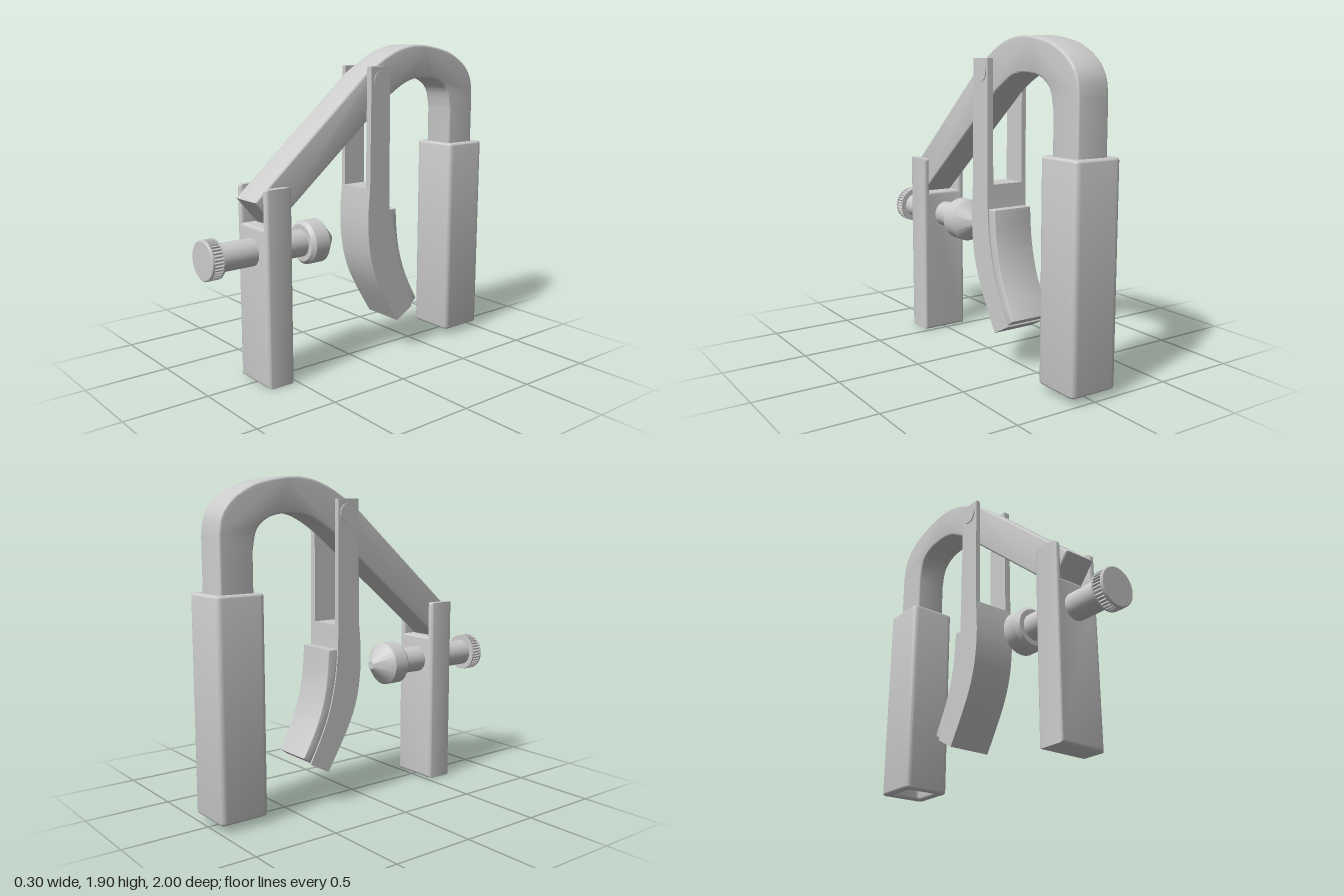
import * as THREE from 'three';
import { toCreasedNormals } from 'three/addons/utils/BufferGeometryUtils.js';

const V = (x, y) => new THREE.Vector2(x, y);
const material = new THREE.MeshStandardMaterial({ color: 0xcccccc });

// smooth run of points through a few side-profile stations
const smooth = (pts, n = 16) => new THREE.SplineCurve(pts.map(p => V(...p))).getPoints(n);

function mesh(name, geometry, crease = 0.6) {
  const m = new THREE.Mesh(toCreasedNormals(geometry, crease), material);
  m.name = name;
  return m;
}

// extrusion whose outer size stays exact when bevelled
function extrude(shape, depth, bevel = 0) {
  return new THREE.ExtrudeGeometry(shape, {
    depth: depth - 2 * bevel, curveSegments: 12,
    bevelEnabled: bevel > 0, bevelSize: bevel, bevelThickness: bevel,
    bevelOffset: -bevel, bevelSegments: 3,
  }).translate(0, 0, bevel);
}

// side profile drawn in (-z, y), spanning x0..x1
function sideExtrude(points, x0, x1, bevel = 0) {
  return extrude(new THREE.Shape(points), x1 - x0, bevel).rotateY(Math.PI / 2).translate(x0, 0, 0);
}

function roundedRect(Type, w, h, r) {
  const s = new Type(), x = w / 2, y = h / 2;
  s.moveTo(-x + r, -y).lineTo(x - r, -y).quadraticCurveTo(x, -y, x, -y + r);
  s.lineTo(x, y - r).quadraticCurveTo(x, y, x - r, y);
  s.lineTo(-x + r, y).quadraticCurveTo(-x, y, -x, y - r);
  s.lineTo(-x, -y + r).quadraticCurveTo(-x, -y, -x + r, -y);
  return s;
}

function createFrame() {
  const under = smooth([[0.2, 1.58], [0.3, 1.645], [0.4, 1.69], [0.5, 1.7], [0.62, 1.685],
    [0.71, 1.62], [0.74, 1.5]], 24);
  const over = smooth([[0.945, 1.58], [0.93, 1.68], [0.88, 1.76], [0.79, 1.825], [0.68, 1.87], [0.5, 1.9],
    [0.36, 1.89], [0.22, 1.84], [0.05, 1.74]], 28);
  return mesh('frameBar', sideExtrude(
    [V(-0.6, 0.92), ...under, V(0.74, 0.15), V(0.945, 0.15), ...over, V(-0.73, 1.07)], -0.1, 0.1, 0.012));
}

function createGrip() {
  const shape = roundedRect(THREE.Shape, 0.3, 0.295, 0.035);
  shape.holes.push(roundedRect(THREE.Path, 0.19, 0.19, 0.02));
  const grip = mesh('rearGrip', extrude(shape, 1.24, 0.015).rotateX(-Math.PI / 2));
  grip.position.set(0, 0.04, -0.8475);
  return grip;
}

function createFrontLeg() {
  // forked plate straddling the bar
  const shape = new THREE.Shape([V(-0.15, 0), V(0.15, 0), V(0.15, 1.14), V(0.107, 1.14),
    V(0.107, 0.92), V(-0.107, 0.92), V(-0.107, 1.14), V(-0.15, 1.14)]);
  const leg = mesh('frontLeg', extrude(shape, 0.17, 0.018));
  leg.position.z = 0.52;
  return leg;
}

function createScrew() {
  const g = new THREE.Group();
  g.name = 'adjustingScrew';
  const turned = (name, pts) => mesh(name,
    new THREE.LatheGeometry(pts.map(p => V(...p)), 40).rotateX(Math.PI / 2));
  g.add(turned('screwShaft', [[0, 0.3], [0.08, 0.3], [0.08, 0.95], [0, 0.95]]));
  g.add(turned('screwTip', [[0, 0.14], [0.025, 0.14], [0.13, 0.235], [0.13, 0.33],
    [0.11, 0.352], [0, 0.352]]));

  // knurled knob
  const rim = [], teeth = 36;
  for (let i = 0; i < teeth * 4; i++) {
    const a = i / (teeth * 4) * Math.PI * 2, r = i % 4 < 2 ? 0.114 : 0.106;
    rim.push(V(Math.cos(a) * r, Math.sin(a) * r));
  }
  const knob = mesh('screwKnob', extrude(new THREE.Shape(rim), 0.07), 0.3);
  knob.position.z = 0.925;
  g.add(knob, turned('knobFace', [[0, 0.92], [0.113, 0.92], [0.113, 0.93], [0, 0.93]]),
    turned('knobCap', [[0, 0.985], [0.114, 0.985], [0.114, 0.995], [0.108, 1], [0, 1]]));
  g.position.set(-0.012, 0.77, 0);
  return g;
}

function createLever() {
  const g = new THREE.Group();
  g.name = 'hangingLever';
  const front = smooth([[0.048, 1.06], [0.037, 0.93], [0.038, 0.78], [0.065, 0.61], [0.13, 0.445], [0.275, 0.2]], 20);
  const back = smooth([[0.4, 0.268], [0.285, 0.5], [0.228, 0.7], [0.205, 0.88], [0.2, 1.06]], 20);
  g.add(mesh('leverBody', sideExtrude([...front, ...back], -0.13, 0.14)));

  // paired arms either side of the bar
  for (const [name, x0, x1] of [['rightArm', -0.13, -0.1], ['leftArm', 0.1, 0.14]])
    g.add(mesh(name, sideExtrude([V(0.048, 1.06), V(0.2, 1.06), V(0.198, 1.78), V(0.055, 1.78)], x0, x1)));

  // curved pad on the rear of the lever
  const padFront = smooth([[0.195, 0.92], [0.218, 0.7], [0.275, 0.5], [0.395, 0.275]], 20);
  const padBack = smooth([[0.443, 0.31], [0.34, 0.51], [0.282, 0.71], [0.262, 0.92]], 20);
  g.add(mesh('leverPad', sideExtrude([...padFront, ...padBack], -0.122, 0.132, 0.006)));

  const pin = mesh('pivotPin', new THREE.CylinderGeometry(0.055, 0.055, 0.283, 32).rotateZ(Math.PI / 2));
  pin.position.set(0.004, 1.7, -0.13);
  g.add(pin);
  return g;
}

export function createModel() {
  const model = new THREE.Group();
  model.name = 'clampFrame';
  model.add(createFrame(), createGrip(), createFrontLeg(), createScrew(), createLever());
  return model;
}
